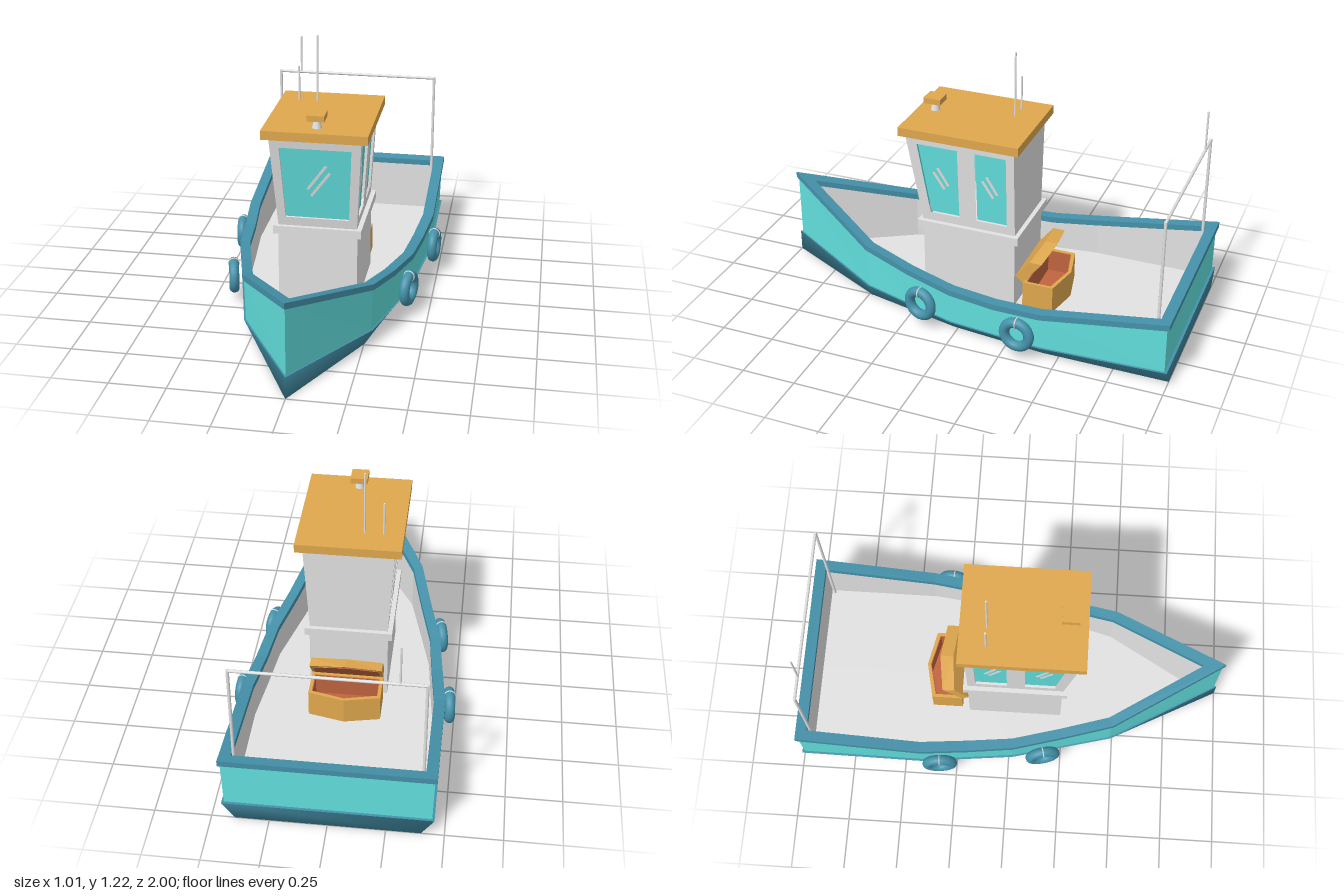
import * as THREE from 'three';
import { mergeVertices } from 'three/addons/utils/BufferGeometryUtils.js';

const mat = (name, color) => {
  const m = new THREE.MeshStandardMaterial({ color });
  m.name = name;
  return m;
};

export function createModel() {
  const boat = new THREE.Group();
  boat.name = 'fishingBoat';
  const teal = mat('teal', 0x62e0de), blue = mat('blue', 0x4592aa), grey = mat('lightGrey', 0xe1e2e1);
  const gold = mat('ochre', 0xe0a84e), red = mat('rust', 0xc0643f);

  const add = (name, geo, material, x = 0, y = 0, z = 0, parent = boat) => {
    const m = new THREE.Mesh(geo, material);
    m.name = name;
    m.position.set(x, y, z);
    parent.add(m);
    return m;
  };
  const box = (name, material, x0, x1, y0, y1, z0, z1) =>
    add(name, new THREE.BoxGeometry(x1 - x0, y1 - y0, z1 - z0), material, (x0 + x1) / 2, (y0 + y1) / 2, (z0 + z1) / 2);
  const rod = (name, x, y0, y1, z, r) =>
    add(name, new THREE.CylinderGeometry(r, r, y1 - y0, 10), grey, x, (y0 + y1) / 2, z);

  // ---- Hull: stations of z, half width, rim height, waterline height, then inner z, half width and rim height
  const stations = [
    [-1, 0.46, 0.33, 0.08, -0.95, 0.41, 0.322], [-0.42, 0.46, 0.24, 0.06, -0.42, 0.41, 0.24],
    [-0.2, 0.435, 0.223, 0.057, -0.2, 0.385, 0.223], [0.02, 0.41, 0.23, 0.055, 0.015, 0.363, 0.23],
    [0.25, 0.351, 0.25, 0.06, 0.24, 0.306, 0.249], [0.49, 0.29, 0.293, 0.07, 0.47, 0.247, 0.289],
    [1, 0, 0.435, 0.1, 0.9, 0, 0.407],
  ];
  // A loop runs up the left side to the bow and back down the right side
  const loop = (fn) => {
    const left = stations.map(fn);
    return [...left, ...left.slice(0, -1).reverse().map(([x, y, z]) => [-x, y, z])];
  };
  const skin = (loops, smooth = false) => {
    const p = [];
    for (let k = 0; k + 1 < loops.length; k++) {
      const L = loops[k], U = loops[k + 1];
      L.forEach((a, i) => {
        const j = (i + 1) % L.length;
        p.push(...a, ...U[i], ...U[j], ...a, ...U[j], ...L[j]);
      });
    }
    let g = new THREE.BufferGeometry();
    g.setAttribute('position', new THREE.Float32BufferAttribute(p, 3));
    if (smooth) g = mergeVertices(g);
    g.computeVertexNormals();
    return g;
  };
  const deckY = 0.057, rimH = 0.028;
  const keel = loop(([z]) => [0, 0, z]);
  const bottom = loop(([z, w]) => [w * 0.87, 0, z]);
  const lip = loop(([z, w, , s]) => [w * 0.99, s, z]);
  const waterline = loop(([z, w, , s]) => [w * 0.968, s, z * 0.988]);
  const hullTop = loop(([z, w, y]) => [w * 0.98, y - rimH, z * 0.988]);
  const rimLow = loop(([z, w, y]) => [w, y - rimH, z]);
  const rimTop = loop(([z, w, y]) => [w, y, z]);
  const rimIn = loop(([, , , , z, w, y]) => [w, y, z]);
  const rimInLow = loop(([, , , , z, w, y]) => [w, y - rimH, z]);
  const deckEdge = loop(([, , , , z, w]) => [w, deckY, z]);
  const deckMid = loop(([, , , , z]) => [0, deckY, z]);
  add('hullBottom', skin([keel, bottom, lip], true), blue);
  add('hullLedge', skin([lip, waterline]), blue);
  add('hullSides', skin([waterline, hullTop]), teal);
  add('gunwale', skin([hullTop, rimLow, rimTop, rimIn, rimInLow]), blue);
  add('bulwarkInside', skin([rimInLow, deckEdge]), grey);
  add('deck', skin([deckEdge, deckMid]), grey);

  // ---- Cabin base and ledge
  box('cabinBase', grey, -0.18, 0.18, deckY, 0.4, -0.205, 0.24);
  box('cabinLedge', grey, -0.2, 0.2, 0.395, 0.433, -0.225, 0.262);

  // ---- Flared cabin walls with recessed windows
  const y0 = 0.43, y1 = 0.868, backZ = -0.205;
  const flare = (a, b) => (y) => a + (b - a) * (y - y0) / (y1 - y0);
  const halfW = flare(0.178, 0.204), frontZ = flare(0.243, 0.312);
  const place = {
    front: (u, y, w) => [u, y, frontZ(y) + w],
    back: (u, y, w) => [-u, y, backZ - w],
    left: (u, y, w) => [halfW(y) + w, y, -u],
    right: (u, y, w) => [-halfW(y) - w, y, u],
  };
  const poly = (pts) => new THREE.Shape(pts.map(([x, y]) => new THREE.Vector2(x, y)));
  // A slab whose outer face lies at the given offset from the wall
  const slab = (name, side, pts, holes, offset, depth, material) => {
    const shape = poly(pts);
    shape.holes = holes.map(poly);
    const g = new THREE.ExtrudeGeometry(shape, { depth, bevelEnabled: false });
    const p = g.attributes.position;
    for (let i = 0; i < p.count; i++)
      p.setXYZ(i, ...place[side](p.getX(i), p.getY(i), p.getZ(i) - depth + offset));
    g.computeVertexNormals();
    add(name, g, material);
  };
  const wall = (side, outline, windows, glints) => {
    slab(side + 'Wall', side, outline, windows, 0, 0.018, grey);
    windows.forEach((w) => slab(side + 'Window', side, w, [], -0.012, 0.005, teal));
    glints.forEach(([ax, ay, bx, by]) => {
      const l = Math.hypot(bx - ax, by - ay), nx = -(by - ay) / l * 0.006, ny = (bx - ax) / l * 0.006;
      slab(side + 'Glint', side, [[ax + nx, ay + ny], [ax - nx, ay - ny], [bx - nx, by - ny], [bx + nx, by + ny]],
        [], -0.009, 0.003, grey);
    });
  };
  const across = [[-halfW(y0), y0], [halfW(y0), y0], [halfW(y1), y1], [-halfW(y1), y1]];
  wall('front', across, [[[-0.143, 0.475], [0.143, 0.475], [0.16, 0.823], [-0.16, 0.823]]],
    [[-0.04, 0.62, 0.045, 0.74], [-0.025, 0.587, 0.06, 0.705]]);
  wall('back', across, [], []);
  const sideOutline = [[backZ, y0], [frontZ(y0), y0], [frontZ(y1), y1], [backZ, y1]];
  const sideWindows = [
    [[0.063, 0.475], [0.205, 0.475], [0.257, 0.823], [0.063, 0.823]],
    [[-0.167, 0.475], [-0.02, 0.475], [-0.02, 0.823], [-0.167, 0.823]],
  ];
  const sideGlints = [0, -0.235].flatMap((d) =>
    [[0.135 + d, 0.605, 0.185 + d, 0.685], [0.115 + d, 0.625, 0.165 + d, 0.71]]);
  for (const [side, s] of [['left', -1], ['right', 1]]) {
    const flip = (pts) => pts.map(([z, y]) => [s * z, y]);
    wall(side, flip(sideOutline), sideWindows.map(flip),
      sideGlints.map(([a, b, c, d]) => [s * a, b, s * c, d]));
  }

  // ---- Roof, radar and aerials
  box('roof', gold, -0.235, 0.235, 0.865, 0.906, -0.235, 0.332);
  add('radarPedestal', new THREE.CylinderGeometry(0.013, 0.022, 0.042, 16), grey, 0, 0.926, 0.25);
  box('radarHead', gold, -0.039, 0.039, 0.946, 0.973, 0.211, 0.292);
  rod('shortAerial', -0.146, 0.9, 1.067, -0.112, 0.0045);
  rod('tallAerial', -0.061, 0.9, 1.216, -0.112, 0.0045);

  // ---- Stern frame
  for (const s of [-1, 1]) rod('sternPost', s * 0.4, deckY, 0.785, -0.936, 0.007);
  const crossbar = rod('sternCrossbar', 0, 0, 0.8, -0.936, 0.007);
  crossbar.position.y = 0.78;
  crossbar.rotation.z = Math.PI / 2;
  rod('sternAerial', -0.292, 0.78, 0.97, -0.936, 0.0045);

  // ---- Ring fenders, each tied on with a loop of rope
  for (const s of [-1, 1]) {
    for (const [x, z, yaw] of [[0.408, 0.165, 0.25], [0.477, -0.326, 0.1]]) {
      const fender = new THREE.Group();
      fender.name = 'fender';
      fender.position.set(s * x, 0.125, z);
      fender.rotation.y = s * (Math.PI / 2 - yaw);
      add('fenderRing', new THREE.TorusGeometry(0.06, 0.0235, 14, 32), blue, 0, 0, 0, fender);
      add('fenderRope', new THREE.TorusGeometry(0.0245, 0.003, 6, 18), grey, 0, 0.06, 0, fender)
        .rotation.y = Math.PI / 2;
      boat.add(fender);
    }
  }

  // ---- Open chest with a pointed back edge
  const chest = new THREE.Group();
  chest.name = 'chest';
  chest.position.set(0, deckY, -0.24);
  boat.add(chest);
  const outline = (i) => [[-0.165 + i, i], [0.165 - i, i], [0.165 - i, 0.145 - i], [0, 0.18 - i], [-0.165 + i, 0.145 - i]];
  const tray = (inset, holeInset, depth) => {
    const shape = poly(outline(inset));
    if (holeInset) shape.holes.push(poly(outline(holeInset)));
    return new THREE.ExtrudeGeometry(shape, { depth, bevelEnabled: false }).rotateX(-Math.PI / 2);
  };
  add('chestWalls', tray(0, 0.015, 0.13), gold, 0, 0, 0, chest);
  add('chestLining', tray(0.014, 0.018, 0.126), red, 0, 0, 0, chest);
  add('chestFloor', tray(0.016, 0, 0.02), red, 0, 0, 0, chest);
  const lid = new THREE.Group();
  lid.name = 'chestLid';
  lid.position.y = 0.13;
  lid.rotation.x = 0.9;
  chest.add(lid);
  // The lid's free edge slopes back towards its top face
  const board = tray(0, 0, 0.045);
  const bp = board.attributes.position;
  for (let i = 0; i < bp.count; i++) if (bp.getY(i) > 0.02) bp.setZ(i, bp.getZ(i) * 0.76);
  board.computeVertexNormals();
  add('lidBoard', board, gold, 0, 0, 0, lid);
  add('lidLining', tray(0.015, 0, 0.004), red, 0, -0.003, 0, lid);

  return boat;
}
